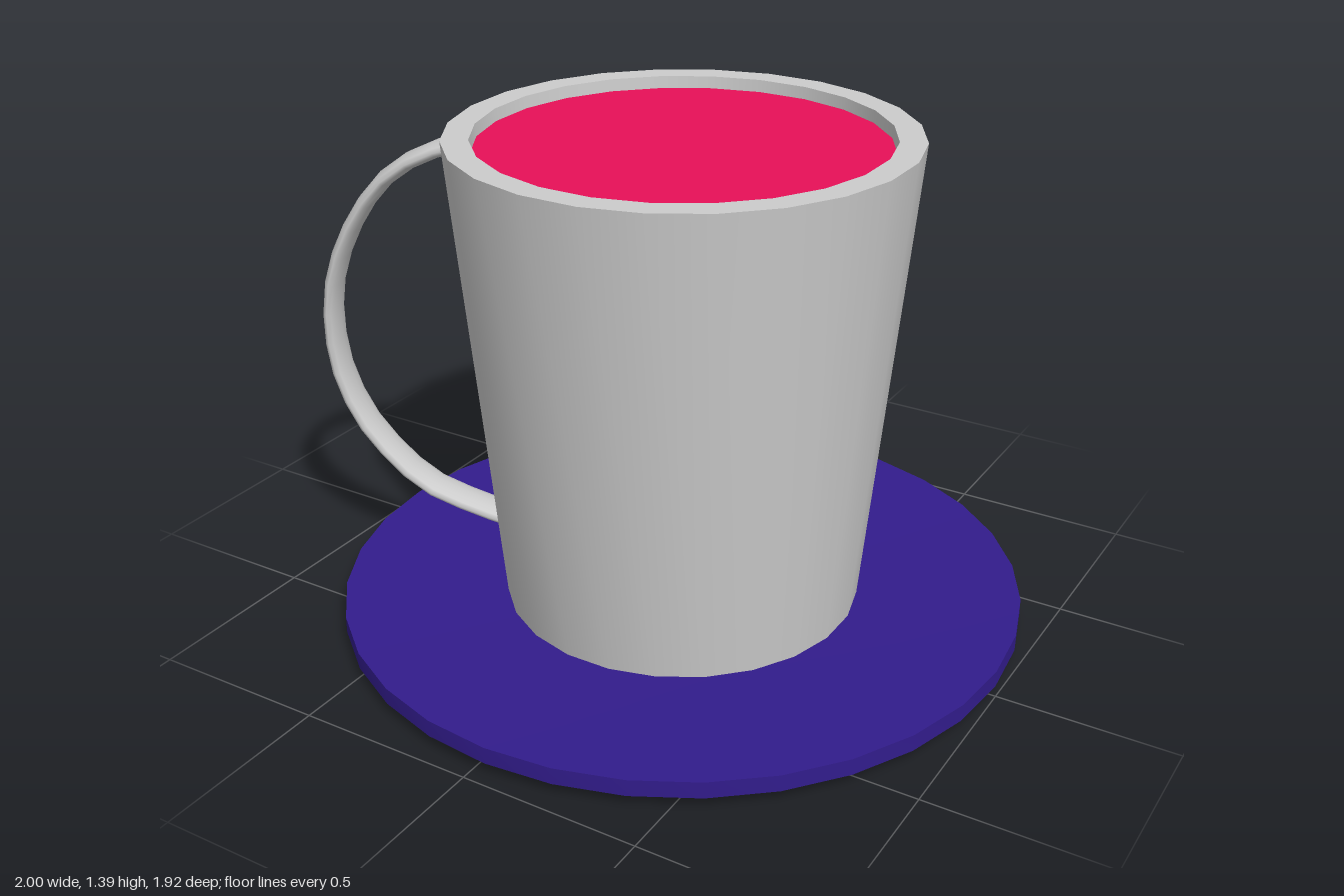
import * as THREE from 'three';
import { toCreasedNormals } from 'three/addons/utils/BufferGeometryUtils.js';

const CENTRE_X = 0.037;

const material = (color) => new THREE.MeshStandardMaterial({ color });

// Turned part with sharp profile corners and smooth sides
function turned(name, profile, sides, phase, mat) {
  const points = profile.map(([r, y]) => new THREE.Vector2(r, y));
  const geometry = toCreasedNormals(new THREE.LatheGeometry(points, sides, phase), 0.6);
  const mesh = new THREE.Mesh(geometry, mat);
  mesh.name = name;
  mesh.position.x = CENTRE_X;
  return mesh;
}

export function createModel() {
  const model = new THREE.Group();
  model.name = 'cupAndSaucer';
  const grey = material(0xcccccc);
  const blue = material(0x321c8c);
  const red = material(0xe81058);

  // Saucer: thin, barely dished plate on a round foot
  model.add(turned('saucer', [
    [0, 0.03], [0.96, 0.03], [0.96, 0.077], [0.5, 0.062], [0, 0.062],
  ], 32, 0, blue));
  model.add(turned('saucerFoot', [[0, 0], [0.4, 0], [0.4, 0.035], [0, 0.035]], 32, 0, blue));

  // Cup: tapered hollow wall with a flat rim
  const phase = Math.PI / 24;
  model.add(turned('cup', [
    [0, 0.06], [0.5, 0.06], [0.625, 1.394], [0.552, 1.394], [0.44, 0.14], [0, 0.14],
  ], 24, phase, grey));

  // Drink surface just below the rim
  const drink = new THREE.Mesh(new THREE.CircleGeometry(0.55, 24, phase), red);
  drink.name = 'drink';
  drink.rotation.x = -Math.PI / 2;
  drink.position.set(CENTRE_X, 1.36, 0);
  model.add(drink);

  // Handle: flat band curving out from the cup, turned slightly forward
  const turn = 0.328;
  const path = [
    [-0.565, 1.31], [-0.69, 1.265], [-0.805, 1.18], [-0.905, 1.03], [-0.96, 0.88], [-0.975, 0.745],
    [-0.96, 0.595], [-0.905, 0.45], [-0.82, 0.335], [-0.725, 0.25], [-0.59, 0.195], [-0.46, 0.158],
  ].map(([x, y]) => new THREE.Vector3((x - CENTRE_X) / Math.cos(turn), y, 0));
  const band = new THREE.TubeGeometry(new THREE.CatmullRomCurve3(path), 18, 0.0225, 12);
  band.scale(1, 1, 2.55);
  const handleMaterial = material(0xcccccc);
  handleMaterial.side = THREE.DoubleSide;
  const handle = new THREE.Mesh(band, handleMaterial);
  handle.name = 'handle';
  handle.rotation.y = turn;
  handle.position.set(CENTRE_X, 0, -0.084);
  model.add(handle);

  return model;
}
